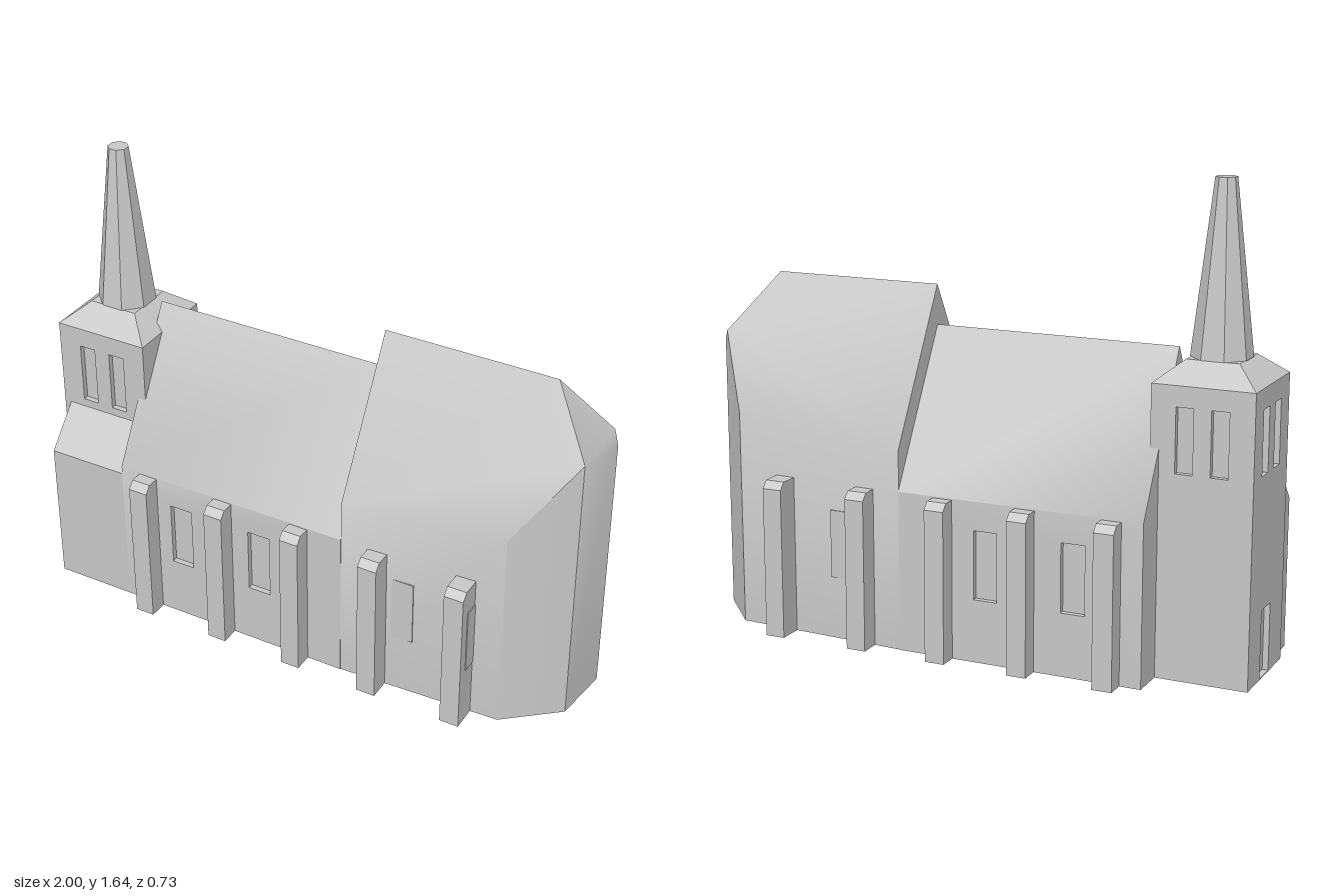
import * as THREE from 'three';
import { mergeGeometries, toCreasedNormals } from 'three/addons/utils/BufferGeometryUtils.js';

const CREASE = 0.7;

// Extrude a (z, y) profile along x
function alongX(profile, x0, x1) {
  const shape = new THREE.Shape(profile.map(([z, y]) => new THREE.Vector2(-z, y)));
  return new THREE.ExtrudeGeometry(shape, { depth: x1 - x0, bevelEnabled: false })
    .rotateY(Math.PI / 2).translate(x0, 0, 0);
}

// Upright wall slab facing +z, with rectangular openings [x0, x1, y0, y1]
function wallPanel(x0, x1, height, openings, depth) {
  const rect = (Type, a, b, c, d) => new Type([[a, c], [b, c], [b, d], [a, d]].map(p => new THREE.Vector2(...p)));
  const shape = rect(THREE.Shape, x0, x1, 0, height);
  for (const o of openings) shape.holes.push(rect(THREE.Path, ...o));
  return new THREE.ExtrudeGeometry(shape, { depth, bevelEnabled: false });
}

// Solid from convex polygons, each split as a fan
function fromPolygons(polygons) {
  const positions = [];
  for (const p of polygons)
    for (let i = 1; i < p.length - 1; i++) positions.push(...p[0], ...p[i], ...p[i + 1]);
  const geometry = new THREE.BufferGeometry();
  geometry.setAttribute('position', new THREE.Float32BufferAttribute(positions, 3));
  return toCreasedNormals(geometry, CREASE);
}

export function createModel() {
  const model = new THREE.Group();
  model.name = 'church';
  const stone = new THREE.MeshStandardMaterial({ color: 0xc8c8c8 });
  stone.name = 'pale grey stone';
  const add = (name, geometry, parent = model) => {
    const mesh = new THREE.Mesh(geometry, stone);
    mesh.name = name;
    parent.add(mesh);
    return mesh;
  };

  // Nave: gabled core with windowed wall panels on both sides
  const eave = 0.56, inner = 0.28, outer = 0.3;
  const naveWindows = [[-0.48, -0.395, 0.22, 0.46], [-0.165, -0.08, 0.22, 0.46]];
  const core = alongX([[inner, 0], [inner, eave], [outer, eave], [0, 1.08],
    [-outer, eave], [-inner, eave], [-inner, 0]], -0.68, 0.2);
  const frontWall = wallPanel(-0.68, 0.2, eave, naveWindows, outer - inner).translate(0, 0, inner);
  const mirrored = naveWindows.map(([a, b, c, d]) => [-b, -a, c, d]);
  const backWall = wallPanel(-0.2, 0.68, eave, mirrored, outer - inner).translate(0, 0, inner).rotateY(Math.PI);
  add('nave', toCreasedNormals(mergeGeometries([core, frontWall, backWall]), CREASE));

  // Choir with faceted apse: footprint walls rising to a steep gable roof
  const ring = [[0.2, 0.298], [0.79, 0.27], [0.973, 0.12], [1, -0.09], [0.975, -0.118], [0.84, -0.265], [0.2, -0.298]];
  const low = ring.map(([x, z]) => [x, 0, z]);
  const high = ring.map(([x, z]) => [x, x === 1 ? 0.975 : 1.22 - 1.74 * Math.abs(z), z]);
  const ridgeWest = [0.2, 1.22, 0], ridgeEast = [0.82, 1.22, 0];
  const polygons = [
    [high[0], high[1], high[2], ridgeEast, ridgeWest],
    [high[4], high[5], high[6], ridgeWest, ridgeEast],
    [high[2], high[3], high[4], ridgeEast],
    [low[6], low[0], high[0], ridgeWest, high[6]],
    [...low].reverse(),
  ];
  for (let i = 0; i < 6; i++) polygons.push([low[i], low[i + 1], high[i + 1], high[i]]);
  add('choir', fromPolygons(polygons));

  // Buttresses with chamfered tops, and the choir windows
  for (const side of [1, -1]) {
    const profile = [[0.25, 0], [0.367, 0], [0.367, 0.53], [0.343, 0.555], [0.25, 0.555]];
    for (const x of [-0.57, -0.265, 0.035, 0.335, 0.655])
      add('buttress', alongX(profile.map(([z, y]) => [z * side, y]), x - 0.035, x + 0.035));
    add('choirWindow', new THREE.BoxGeometry(0.08, 0.24, 0.009)).position.set(0.43, 0.34, side * 0.285);
    add('buttressPanel', new THREE.BoxGeometry(0.006, 0.24, 0.055)).position.set(0.69, 0.34, side * 0.303);
  }

  // Lean-to beside the tower
  add('leanTo', alongX([[0.15, 0], [0.3, 0], [0.3, 0.53], [0.175, 0.67], [0.15, 0.67]], -0.975, -0.68));

  // Tower: inner core with four walls pierced by paired openings
  const tower = new THREE.Group();
  tower.name = 'tower';
  tower.position.x = -0.825;
  model.add(tower);
  const half = 0.175, recess = 0.02, top = 0.99;
  const coreSize = 2 * (half - recess);
  add('towerCore', new THREE.BoxGeometry(coreSize, top, coreSize).translate(0, top / 2, 0), tower);
  for (let k = 0; k < 4; k++) {
    const w = k % 2 ? half - recess : half;
    const openings = [[-0.09, -0.03, 0.7, 0.92], [0.03, 0.09, 0.7, 0.92]];
    if (k === 3) openings.push([-0.05, 0.04, 0.004, 0.24]);
    add('towerWall', wallPanel(-w, w, top, openings, recess)
      .translate(0, 0, half - recess).rotateY(k * Math.PI / 2), tower);
  }

  // Sloping tower cap and eight-sided blunt spire
  const cap = new THREE.CylinderGeometry(0.09 * Math.SQRT2, half * Math.SQRT2, 0.07, 4).rotateY(Math.PI / 4);
  add('towerCap', toCreasedNormals(cap, 0.3), tower).position.y = top + 0.035;
  const spire = new THREE.CylinderGeometry(0.036, 0.103, 0.58, 8).rotateY(Math.PI / 8);
  add('spire', toCreasedNormals(spire, 0.3), tower).position.y = 1.35;

  return model;
}
